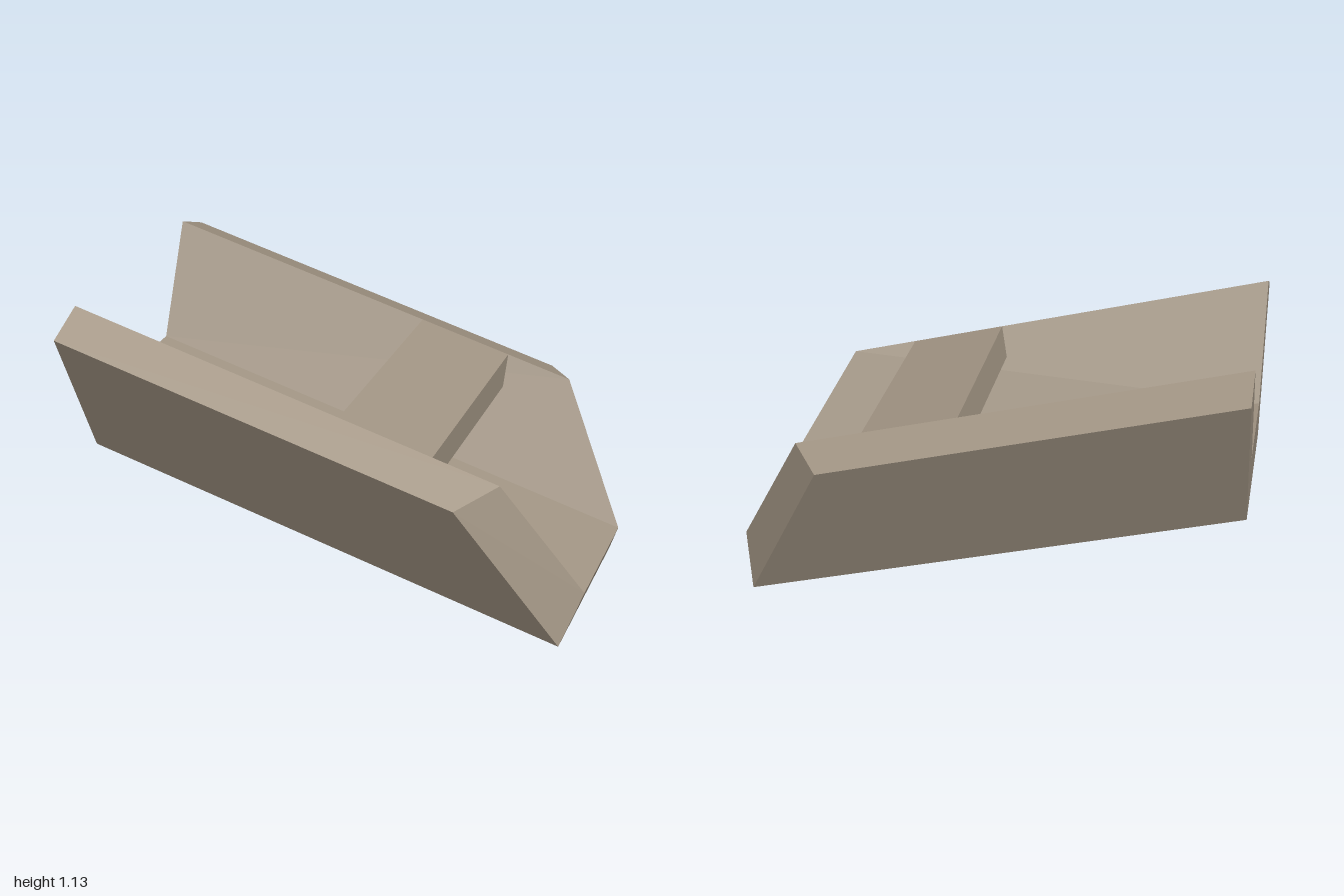
import * as THREE from 'three';
import { ConvexGeometry } from 'three/addons/geometries/ConvexGeometry.js';

const SLOPE = 0.2525;

// Point on a line running down the slope, given its height at x = -1
const onSlope = (x, y0, z) => new THREE.Vector3(x, y0 - SLOPE * (x + 1), z);

export function createModel() {
  const group = new THREE.Group();
  const material = new THREE.MeshStandardMaterial({ color: 0xa39685 });
  material.name = 'warm grey stone';

  const addSolid = (name, points) => {
    const mesh = new THREE.Mesh(new ConvexGeometry(points), material);
    mesh.name = name;
    group.add(mesh);
  };

  // Trough edges: height at the back end, half width, x of the cut front end
  const outerTop = [1.06, 0.633, 0.59];
  const innerTop = [1.13, 0.46, 0.71];
  const innerBottom = [0.685, 0.255, 1];
  const outerBottom = [0.49, 0.38, 0.942];
  const edge = ([y0, z, xEnd], side) => [onSlope(-1, y0, z * side), onSlope(xEnd, y0, z * side)];

  // Flared side walls with slanted front ends
  for (const side of [1, -1]) {
    addSolid(side > 0 ? 'frontWall' : 'backWall',
      [outerTop, innerTop, innerBottom, outerBottom].flatMap((e) => edge(e, side)));
  }

  // Sloping floor slab between the walls
  addSolid('floor', [1, -1].flatMap((side) => [innerBottom, outerBottom].flatMap((e) => edge(e, side))));

  // Bridge across the trough, flush with the inner rims
  addSolid('crossBar', [1, -1].flatMap((side) => [
    onSlope(0.08, 1.13, 0.46 * side),
    onSlope(0.45, 1.13, 0.46 * side),
    onSlope(0.05, 1.011, 0.403 * side),
    onSlope(0.45, 1.011, 0.403 * side),
  ]));

  return group;
}
